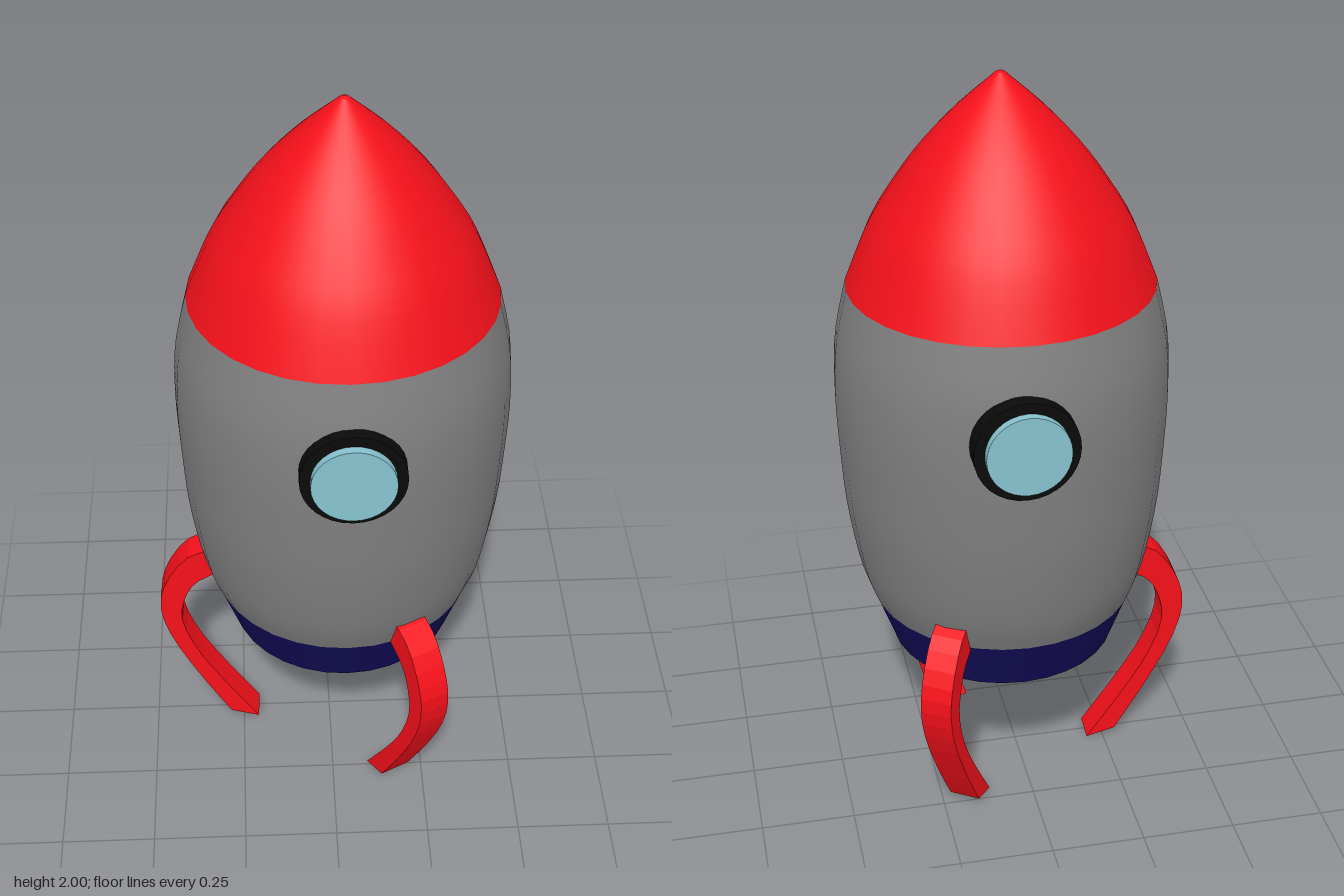
import * as THREE from 'three';

const SIDES = 32;
const AXIS_X = 0.035; // hull axis sits slightly off centre

const mat = (color, side = THREE.FrontSide) => new THREE.MeshStandardMaterial({ color, side });
const grey = mat(0x808080, THREE.DoubleSide);
const red = mat(0xf5101a);
const redShell = mat(0xf5101a, THREE.DoubleSide);
const navy = mat(0x120c58, THREE.DoubleSide);
const black = mat(0x0a0a0a);
const glass = mat(0x87c3d0);

const v2 = (pts) => pts.map(([x, y]) => new THREE.Vector2(x, y));

function add(parent, name, geometry, material, x = 0, y = 0, z = 0) {
  const mesh = new THREE.Mesh(geometry, material);
  mesh.name = name;
  mesh.position.set(x, y, z);
  parent.add(mesh);
  return mesh;
}

// Smooth surface of revolution through [radius, height] points
function turned(points, steps) {
  const curve = new THREE.SplineCurve(v2(points));
  return new THREE.LatheGeometry(curve.getPoints(steps), SIDES);
}

// Hooked leg: outer edge going down, inner edge coming back up
function legGeometry(width) {
  const outer = [[0.355, 0.645], [0.424, 0.61], [0.481, 0.52], [0.498, 0.43],
    [0.471, 0.32], [0.397, 0.17], [0.312, 0.025]];
  const inner = [[0.233, 0.004], [0.334, 0.155], [0.403, 0.275], [0.44, 0.386],
    [0.429, 0.466], [0.397, 0.524], [0.335, 0.563]];
  const edge = (pts) => new THREE.SplineCurve(v2(pts)).getPoints(14);
  const shape = new THREE.Shape([...edge(outer), ...edge(inner)]);
  const geo = new THREE.ExtrudeGeometry(shape, { depth: width, bevelEnabled: false });
  return geo.translate(0, 0, -width / 2);
}

// Round porthole: dark rim with a raised pane, facing along dir * z
function porthole(name, x, y, dir, rimZ, paneZ) {
  const group = new THREE.Group();
  group.name = name;
  const disc = (part, radius, from, to, material) => {
    const geo = new THREE.CylinderGeometry(radius, radius, to - from, SIDES);
    geo.rotateX(Math.PI / 2);
    add(group, part, geo, material, x, y, dir * (from + to) / 2);
  };
  disc('rim', 0.132, 0.39, rimZ, black);
  disc('pane', 0.105, 0.4, paneZ, glass);
  return group;
}

export function createModel() {
  const model = new THREE.Group();
  model.name = 'rocket';

  // Hull, from the tail upwards
  const base = new THREE.CircleGeometry(0.301, SIDES).rotateX(Math.PI / 2);
  add(model, 'tailPlate', base, grey, AXIS_X, 0.42, 0);
  const band = new THREE.LatheGeometry(v2([[0.301, 0.42], [0.352, 0.563]]), SIDES);
  add(model, 'tailBand', band, navy, AXIS_X);
  const body = turned([[0.352, 0.563], [0.385, 0.66], [0.415, 0.84], [0.427, 1.0],
    [0.433, 1.16], [0.425, 1.31], [0.394, 1.455]], 20);
  add(model, 'body', body, grey, AXIS_X);
  const nose = turned([[0.394, 1.455], [0.335, 1.6], [0.276, 1.7], [0.205, 1.8],
    [0.115, 1.9], [0.012, 1.995]], 16);
  add(model, 'noseCone', nose, redShell, AXIS_X);
  const tip = new THREE.ConeGeometry(0.012, 0.005, SIDES);
  add(model, 'noseTip', tip, red, AXIS_X, 1.9975, 0);

  // Portholes front and back
  model.add(porthole('frontPorthole', 0.04, 1.21, 1, 0.45, 0.473));
  model.add(porthole('backPorthole', 0.063, 1.205, -1, 0.457, 0.48));

  // Three legs around the tail
  const legGeo = legGeometry(0.084);
  [182.2, 62.2, -57.8].forEach((deg, i) => {
    const leg = add(model, `leg${i + 1}`, legGeo, red, 0.027, 0, 0.012);
    leg.rotation.y = -THREE.MathUtils.degToRad(deg);
  });

  return model;
}
